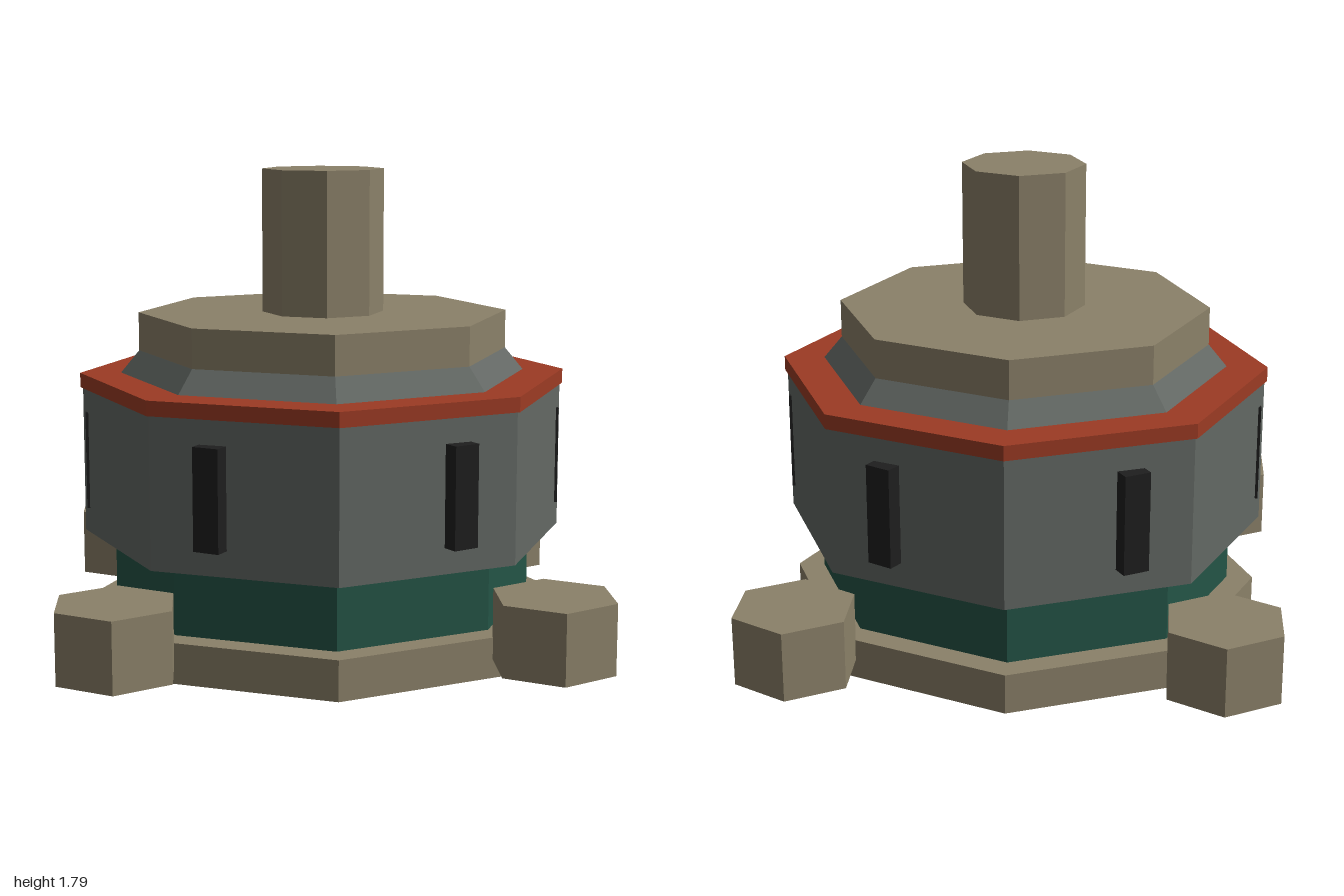
import * as THREE from 'three';

const mat = (name, color) => {
  const m = new THREE.MeshStandardMaterial({ color, flatShading: true });
  m.name = name;
  return m;
};

export function createModel() {
  const group = new THREE.Group();
  const tan = mat('tan', 0x8b8169);
  const grey = mat('grey', 0x636864);
  const green = mat('green', 0x245446);
  const red = mat('rust red', 0x9c3b24);
  const black = mat('black', 0x1e1e1e);

  const add = (name, geometry, material, x, y, z) => {
    const mesh = new THREE.Mesh(geometry, material);
    mesh.name = name;
    mesh.position.set(x, y, z);
    group.add(mesh);
    return mesh;
  };

  // Stacked octagonal tiers: name, bottom radius, top radius, bottom y, top y
  const tiers = [
    ['basePlate', 0.9, 0.9, 0, 0.15, tan],
    ['lowerDrum', 0.8, 0.8, 0.15, 0.41, green],
    ['body', 0.915, 0.915, 0.41, 0.965, grey],
    ['rim', 0.925, 0.925, 0.965, 1.02, red],
    ['shoulder', 0.77, 0.7, 1.02, 1.105, grey],
    ['cap', 0.7, 0.7, 1.105, 1.25, tan],
    ['post', 0.23, 0.23, 1.25, 1.79, tan],
  ];
  for (const [name, rBottom, rTop, y0, y1, material] of tiers) {
    add(name, new THREE.CylinderGeometry(rTop, rBottom, y1 - y0, 8), material, 0, (y0 + y1) / 2, 0);
  }

  // Hexagonal feet at the four corners
  const footGeometry = new THREE.CylinderGeometry(0.231, 0.231, 0.26, 6);
  for (const x of [-1, 1]) {
    for (const z of [-1, 1]) add('foot', footGeometry, tan, x * 0.769, 0.2, z * 0.769);
  }

  // Six dark slots spaced evenly around the body, partly sunk into it
  const slotGeometry = new THREE.BoxGeometry(0.1, 0.37, 0.1);
  for (let i = 0; i < 6; i++) {
    const a = Math.PI / 2 + (i * Math.PI) / 3;
    add('slot', slotGeometry, black, Math.sin(a) * 0.855, 0.69, Math.cos(a) * 0.855).rotation.y = a;
  }

  return group;
}
